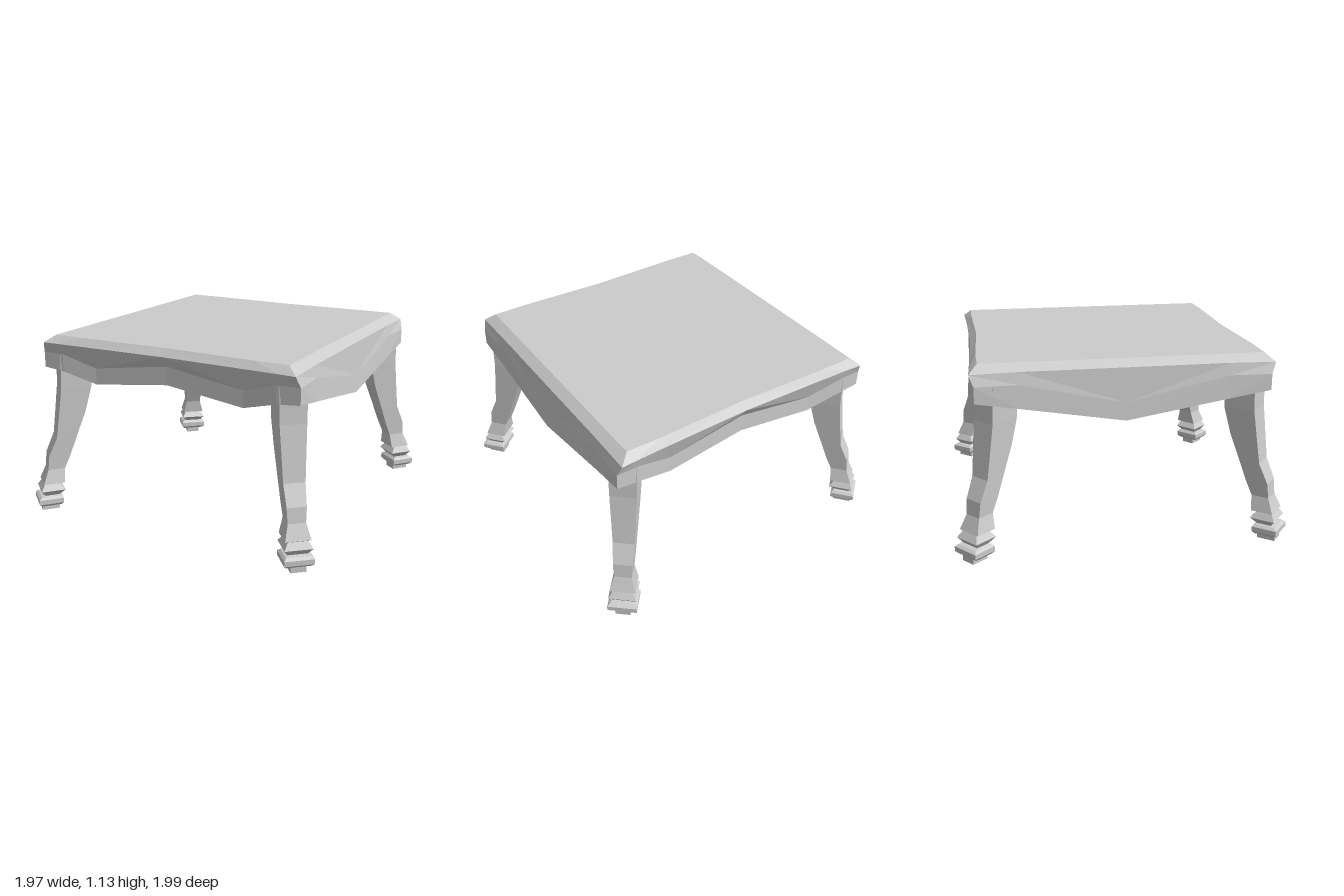
import * as THREE from 'three';

const material = new THREE.MeshStandardMaterial({ color: 0xcccccc, flatShading: true, side: THREE.DoubleSide });

// Skin a grid of points: columns run counter-clockwise around, each column runs downward.
// sx, sz mirror the result into another quarter.
function skin(columns, sx, sz, name) {
  const rows = columns[0].length;
  const pos = columns.flat().flatMap(([x, y, z]) => [x * sx, y, z * sz]);
  const index = [];
  for (let i = 0; i < columns.length - 1; i++) {
    for (let j = 0; j < rows - 1; j++) {
      const a = i * rows + j, b = a + 1, c = a + rows + 1, d = a + rows;
      if (sx * sz > 0) index.push(a, b, c, a, c, d);
      else index.push(a, c, b, a, d, c);
    }
  }
  const indexed = new THREE.BufferGeometry();
  indexed.setAttribute('position', new THREE.Float32BufferAttribute(pos, 3));
  indexed.setIndex(index);
  const geometry = indexed.toNonIndexed();
  geometry.computeVertexNormals();
  const mesh = new THREE.Mesh(geometry, material);
  mesh.name = name;
  return mesh;
}

// Quarter of the top and apron; each column goes from the top centre, over the rim,
// down the apron, across its thick lower edge, up the inner wall and to the underside centre.
function topColumns() {
  const floorY = 1.01, inX = 0.73, inZ = 0.715, inset = 0.84;
  const top = [0, 1.13, 0], under = [0, floorY, 0];
  // front: rim x, apron x, top edge z, rim z, apron z, apron break y, lower edge y, inner lower y
  const front = [
    [0, 0, 0.803, 0.842, 0.80, 1.02, 0.91, 0.89],
    [0.57, 0.5, 0.822, 0.858, 0.81, 0.95, 0.85, 0.845],
    [0.74, 0.72, 0.82, 0.865, 0.845, 1.02, 0.912, 0.895],
  ].map(([rx, x, edge, rim, z, breakY, lowY, inY]) => [
    top, [rx, 1.13, edge], [rx, 1.085, rim], [x, breakY, z],
    [x, lowY, z], [x * inset, inY, inZ], [x * inset, floorY, inZ], under,
  ]);
  const corner = [
    top, [0.78, 1.13, 0.82], [0.84, 1.085, 0.87], [0.86, 1.02, 0.845],
    [0.86, 0.925, 0.845], [inX, 0.91, inZ], [inX, floorY, inZ], under,
  ];
  // side: z, apron break y, lower edge y, inner lower y
  const side = [[0.6, 1.02, 0.885, 0.862], [0, 0.89, 0.785, 0.79]].map(([z, breakY, lowY, inY]) => [
    top, [0.78, 1.13, z], [0.838, 1.09, z], [0.85, breakY, z],
    [0.857, lowY, z], [inX, inY, z * inset], [inX, floorY, z * inset], under,
  ]);
  return [...front, corner, ...side];
}

// Cabriole leg with stepped foot, lying in a plane that runs slightly nearer to z than x.
// section: y, outer face and inner face distance along the splay, half width
const legSections = [
  [1.01, 0, -0.18, 0.08],
  [0.80, 0.007, -0.18, 0.077],
  [0.64, 0.028, -0.137, 0.07],
  [0.48, 0.05, -0.075, 0.063],
  [0.36, 0.105, -0.03, 0.057],
  [0.27, 0.115, 0.01, 0.052],
  [0.18, 0.152, 0.02, 0.075],
  [0.175, 0.145, 0.05, 0.058],
  [0.135, 0.17, 0.02, 0.082],
  [0.10, 0.145, 0.055, 0.058],
  [0.095, 0.17, 0.05, 0.073],
  [0.082, 0.187, 0.036, 0.087],
  [0.052, 0.187, 0.036, 0.087],
  [0.036, 0.17, 0.05, 0.073],
  [0.035, 0.166, 0.058, 0.045],
  [0, 0.166, 0.058, 0.045],
];

function legColumns() {
  const nx = 0.65, nz = 0.76;
  const point = (y, s, h) => [0.797 + nx * s + nz * h, y, 0.795 + nz * s - nx * h];
  const column = (face, sign) => [
    point(legSections[0][0], -0.09, 0),
    ...legSections.map((l) => point(l[0], l[face], sign * l[3])),
    point(0, 0.112, 0),
  ];
  return [[1, -1], [1, 1], [2, 1], [2, -1], [1, -1]].map(([face, sign]) => column(face, sign));
}

export function createModel() {
  const model = new THREE.Group();
  model.name = 'stool';
  const topAndApron = new THREE.Group();
  topAndApron.name = 'topAndApron';
  const legs = new THREE.Group();
  legs.name = 'legs';
  for (const [sx, sz, place] of [[1, 1, 'FrontLeft'], [-1, 1, 'FrontRight'], [1, -1, 'BackLeft'], [-1, -1, 'BackRight']]) {
    topAndApron.add(skin(topColumns(), sx, sz, 'top' + place));
    legs.add(skin(legColumns(), sx, sz, 'leg' + place));
  }
  model.add(topAndApron, legs);
  return model;
}
